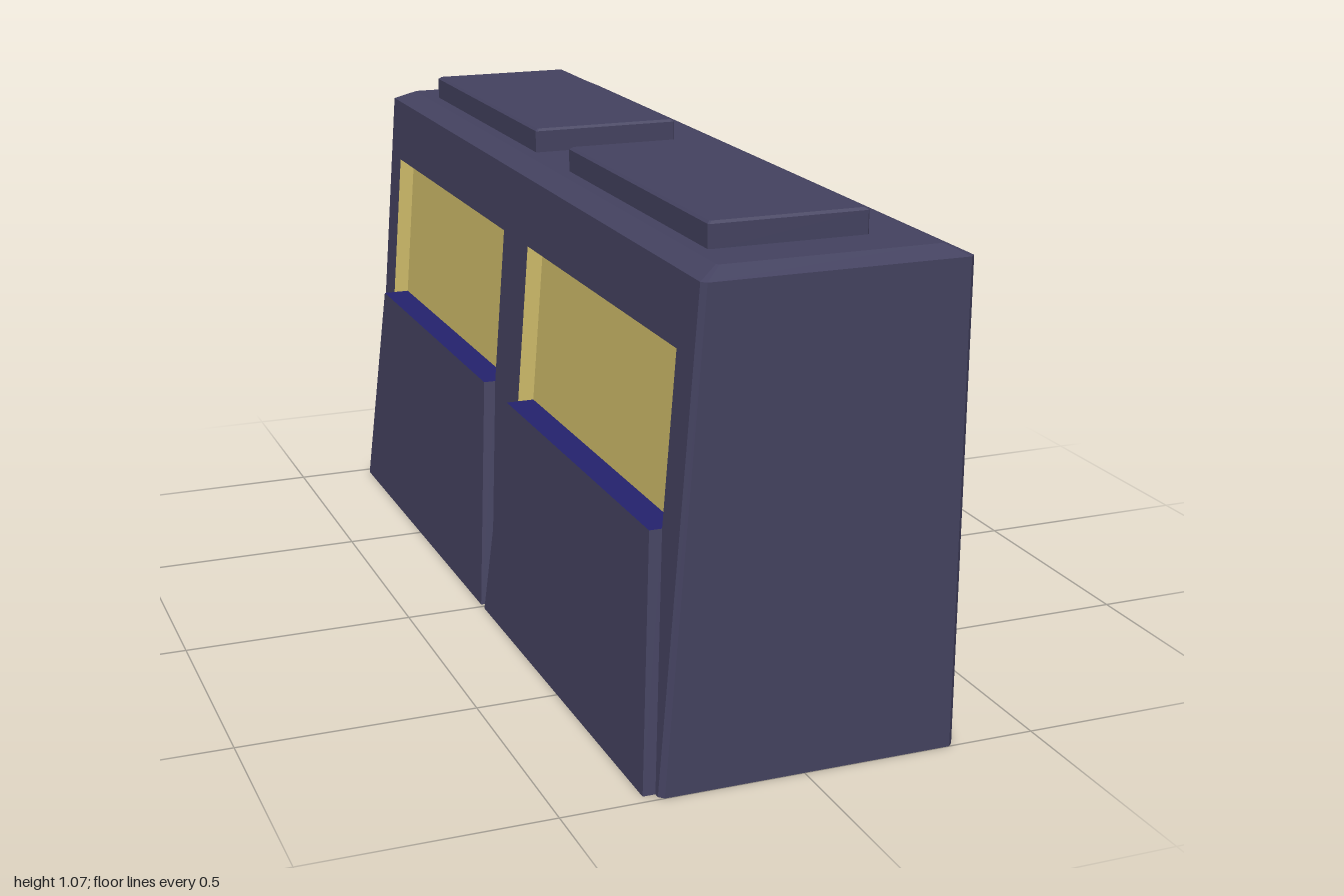
import * as THREE from 'three';

const material = (name, color) =>
  new THREE.MeshStandardMaterial({ name, color, flatShading: true, side: THREE.DoubleSide });

// Flat-faced geometry from a list of four-cornered faces
function quads(faces) {
  const pos = [];
  for (const [a, b, c, d] of faces) for (const p of [a, b, c, a, c, d]) pos.push(...p);
  const g = new THREE.BufferGeometry();
  g.setAttribute('position', new THREE.Float32BufferAttribute(pos, 3));
  g.computeVertexNormals();
  return g;
}

// Rectangle with clipped corners at height y
function ring(y, x0, x1, z0, z1, k) {
  return [
    [x0, y, z0 + k], [x0 + k, y, z0], [x1 - k, y, z0], [x1, y, z0 + k],
    [x1, y, z1 - k], [x1 - k, y, z1], [x0 + k, y, z1], [x0, y, z1 - k],
  ];
}

// Side faces between two rings
function band(a, b, count = 8) {
  const faces = [];
  for (let i = 0; i < count; i++) {
    const j = (i + 1) % 8;
    faces.push([a[j], a[i], b[i], b[j]]);
  }
  return faces;
}

// Upward-facing lid on a ring
const lid = (r) => [[r[7], r[6], r[1], r[0]], [r[6], r[5], r[2], r[1]], [r[5], r[4], r[3], r[2]]];

export function createModel() {
  const group = new THREE.Group();
  const shell = material('slate shell', 0x444260);
  const yellow = material('window yellow', 0xcfbc6a);
  const blue = material('ledge blue', 0x24226e);
  const add = (name, geometry, mat) => {
    const m = new THREE.Mesh(geometry, mat);
    m.name = name;
    group.add(m);
  };

  const H = 0.993, sill = 0.505, head = 0.85;
  const wallX = (y) => -0.3 + 0.075 * (y / H); // leaning wall
  const wide = 0.483, narrow = 0.415;           // half widths of the panels

  // Three plain walls and the bevelled roof; the underside is open
  const base = ring(0, wallX(0), 0.325, -1, 1, 0.01);
  const eaves = ring(H, wallX(H), 0.325, -1, 1, 0.01);
  const top = ring(1.013, -0.18, 0.28, -0.96, 0.96, 0.005);
  add('walls', quads(band(base, eaves, 7)), shell);
  add('roof', quads([...band(eaves, top), ...lid(top)]), shell);

  // Leaning wall, notched for the panels and windows
  const outline = [[-0.99, 0]];
  for (const c of [-0.495, 0.495]) {
    outline.push([c - wide, 0], [c - narrow, sill], [c - narrow, head],
      [c + narrow, head], [c + narrow, sill], [c + wide, 0]);
  }
  outline.push([0.99, 0], [0.99, H], [-0.99, H]);
  const wall = new THREE.ShapeGeometry(new THREE.Shape(outline.map((p) => new THREE.Vector2(...p))));
  const pos = wall.attributes.position;
  for (let i = 0; i < pos.count; i++) {
    const z = pos.getX(i), y = pos.getY(i);
    pos.setXYZ(i, wallX(y), y, z);
  }
  wall.computeVertexNormals();
  add('leaningWall', wall, shell);

  for (const c of [-0.495, 0.495]) {
    const out = (y, z) => [wallX(y) - 0.026, y, c + z]; // panel surface
    const on = (y, z) => [wallX(y), y, c + z];          // wall surface
    const deep = (y, z) => [wallX(y) + 0.035, y, c + z]; // window pane

    // Flared lower panel with its two side cheeks
    add('lowerPanel', quads([
      [out(0, -wide), out(0, wide), out(sill, narrow), out(sill, -narrow)],
      [on(0, -wide), out(0, -wide), out(sill, -narrow), on(sill, -narrow)],
      [on(sill, narrow), out(sill, narrow), out(0, wide), on(0, wide)],
    ]), shell);

    // Ledge between panel and pane
    add('ledge', quads([
      [out(sill, -narrow), out(sill, narrow), deep(sill, narrow), deep(sill, -narrow)],
    ]), blue);

    // Recessed pane with side and top reveals
    add('window', quads([
      [deep(sill, -narrow), deep(sill, narrow), deep(head, narrow), deep(head, -narrow)],
      [on(sill, -narrow), deep(sill, -narrow), deep(head, -narrow), on(head, -narrow)],
      [on(head, narrow), deep(head, narrow), deep(sill, narrow), on(sill, narrow)],
      [on(head, -narrow), deep(head, -narrow), deep(head, narrow), on(head, narrow)],
    ]), yellow);

    // Raised roof slab with a fine top bevel
    const s = Math.sign(c) * 0.4775;
    const levels = [[1.01, 0], [1.06, 0], [1.065, 0.006]].map(([y, e]) =>
      ring(y, -0.15 + e, 0.18 - e, s - 0.3725 + e, s + 0.3725 - e, 0.003));
    add('roofSlab', quads([
      ...band(levels[0], levels[1]), ...band(levels[1], levels[2]), ...lid(levels[2]),
    ]), shell);
  }
  return group;
}
